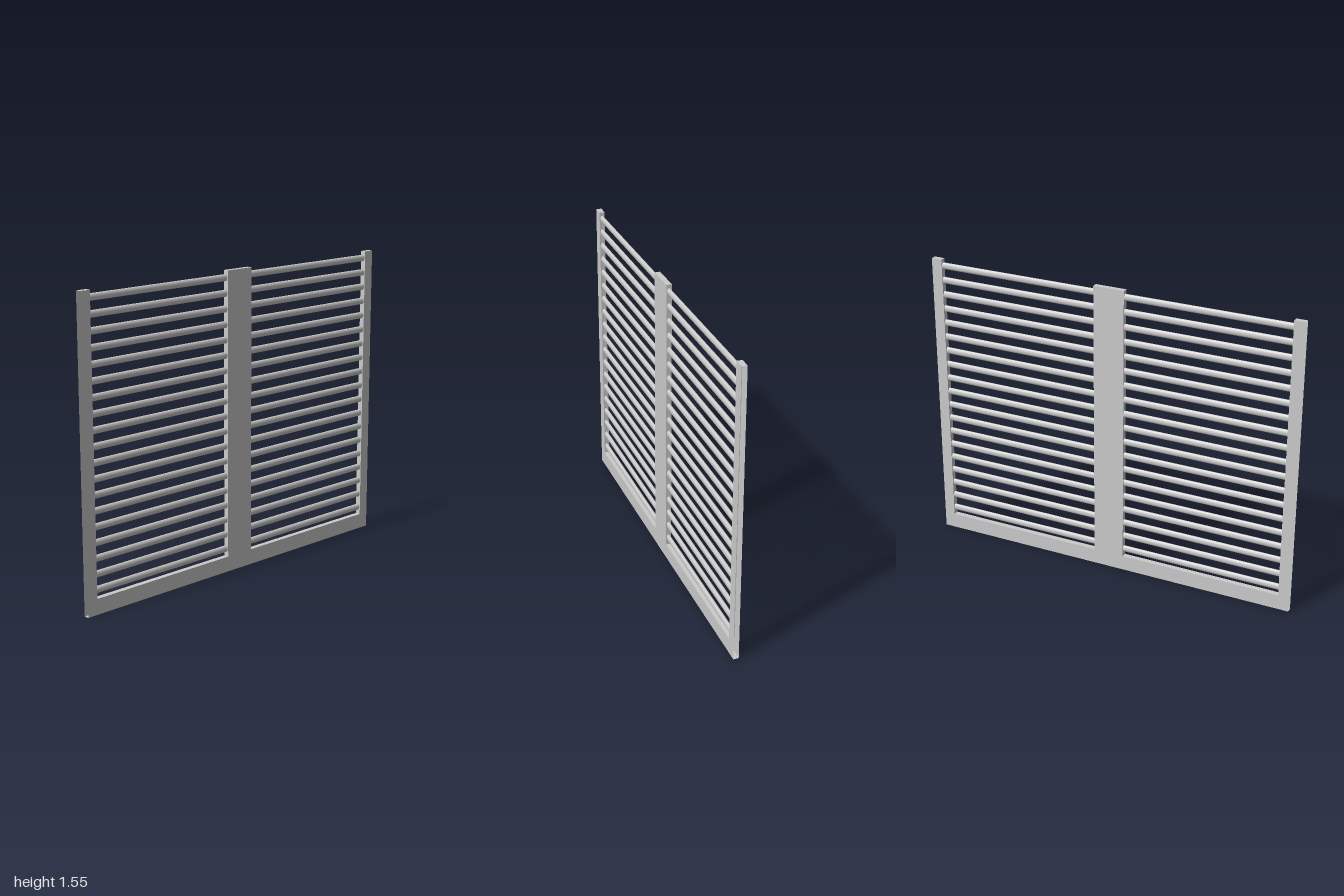
import * as THREE from 'three';

const H = 1.55, D = 0.014;             // height, half depth
const POST = 0.943, MID = 0.082, RAIL = 0.08;
const SLATS = 19, FIRST = 0.121, STEP = 0.0774, RY = 0.0175, RZ = 0.0105;

export function createModel() {
  const group = new THREE.Group();
  const mat = new THREE.MeshStandardMaterial({ color: 0xcccccc, side: THREE.DoubleSide });
  const add = (name, geo, x = 0, y = 0, z = 0) => {
    const m = new THREE.Mesh(geo, mat);
    m.name = name;
    m.position.set(x, y, z);
    group.add(m);
    return m;
  };
  const slatY = (i) => FIRST + i * STEP;

  // Front and back sheets: two side posts, a centre post and a bottom rail
  const outline = [[-1, 0], [1, 0], [1, H], [POST, H], [POST, RAIL], [MID, RAIL], [MID, H],
    [-MID, H], [-MID, RAIL], [-POST, RAIL], [-POST, H], [-1, H]];
  const sheet = new THREE.ShapeGeometry(new THREE.Shape(outline.map(([x, y]) => new THREE.Vector2(x, y))));
  add('frontSheet', sheet, 0, 0, D);
  add('backSheet', sheet, 0, 0, -D).rotation.y = Math.PI;

  // Horizontal strips closing the hollow frame (the outer ends stay open)
  const strip = (name, x0, x1, y, up) => {
    const g = new THREE.PlaneGeometry(x1 - x0, 2 * D).rotateX(up ? -Math.PI / 2 : Math.PI / 2);
    add(name, g, (x0 + x1) / 2, y, 0);
  };
  strip('bottomStrip', -1, 1, 0, false);
  strip('centrePostTop', -MID, MID, H, true);

  // Post wall pierced by one oval hole per slat
  const wall = new THREE.Shape([[-D, RAIL], [D, RAIL], [D, H], [-D, H]].map(([x, y]) => new THREE.Vector2(x, y)));
  for (let i = 0; i < SLATS; i++) {
    wall.holes.push(new THREE.Path().absellipse(0, slatY(i), RZ, RY, 0, Math.PI * 2, true));
  }
  const wallGeo = new THREE.ShapeGeometry(wall, 12);

  // Oval hollow slat
  const length = POST - MID;
  const slatGeo = new THREE.CylinderGeometry(1, 1, length, 24, 1, true)
    .rotateZ(Math.PI / 2).scale(1, RY, RZ);

  for (const s of [1, -1]) {
    const side = s > 0 ? 'left' : 'right';
    strip(side + 'PostTop', s > 0 ? POST : -1, s > 0 ? 1 : -POST, H, true);
    strip(side + 'RailTop', s > 0 ? MID : -POST, s > 0 ? POST : -MID, RAIL, true);
    add(side + 'CentreWall', wallGeo, s * MID).rotation.y = s * Math.PI / 2;
    add(side + 'PostWall', wallGeo, s * POST).rotation.y = -s * Math.PI / 2;
    for (let i = 0; i < SLATS; i++) {
      add(side + 'Slat', slatGeo, s * (POST + MID) / 2, slatY(i), 0);
    }
  }
  return group;
}
